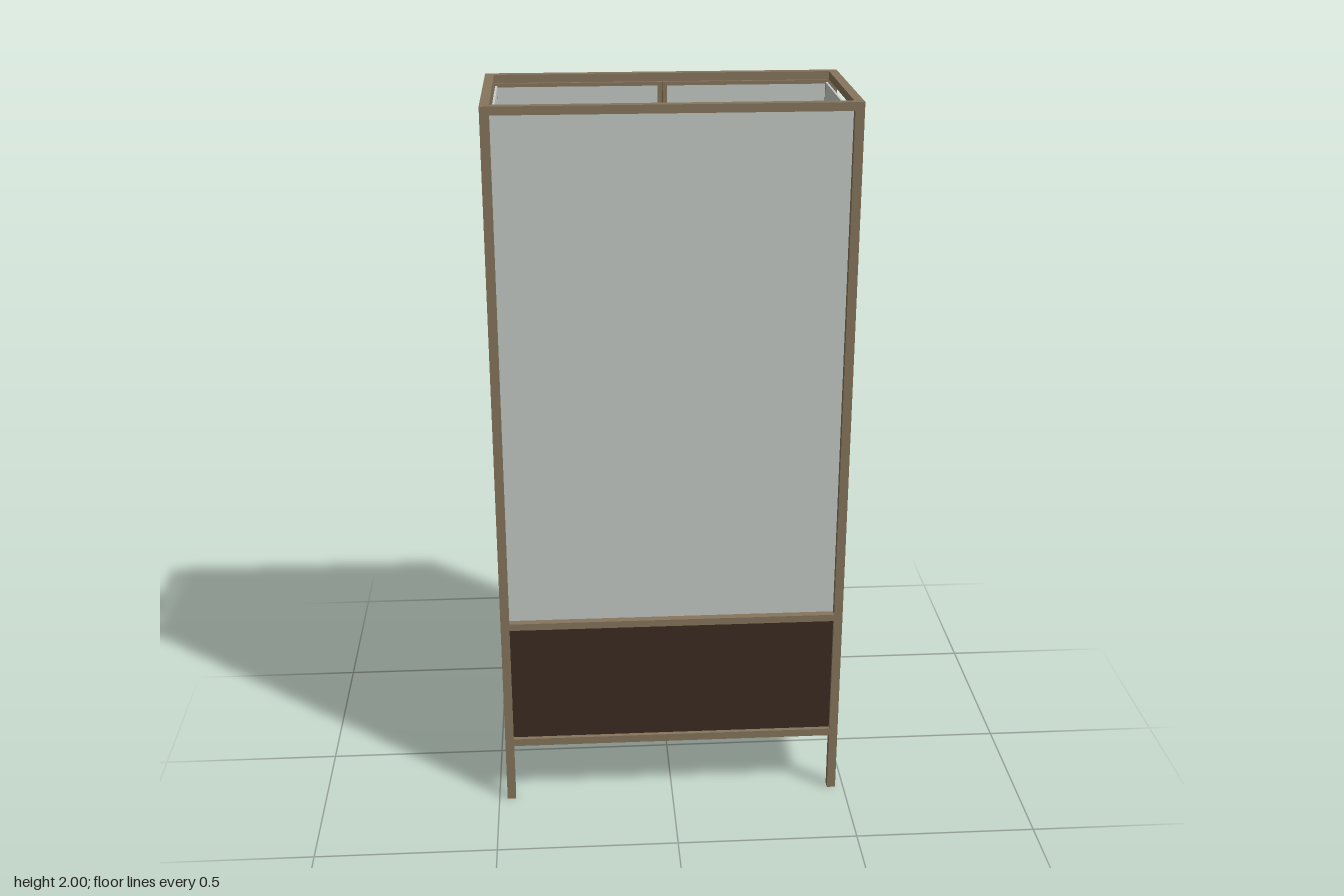
import * as THREE from 'three';

export function createModel() {
  const model = new THREE.Group();
  model.name = 'displayCabinet';
  const mat = (name, color) => {
    const m = new THREE.MeshStandardMaterial({ color });
    m.name = name;
    return m;
  };
  const brass = mat('agedBrass', 0x86755c);
  const wood = mat('darkWood', 0x3b2b22);
  const glass = mat('paleGlass', 0xc5cbc6);

  // Box given by its minimum and maximum on each axis
  const box = (name, material, x0, x1, y0, y1, z0, z1, parent = model) => {
    const mesh = new THREE.Mesh(new THREE.BoxGeometry(x1 - x0, y1 - y0, z1 - z0), material);
    mesh.position.set((x0 + x1) / 2, (y0 + y1) / 2, (z0 + z1) / 2);
    mesh.name = name;
    parent.add(mesh);
    return mesh;
  };

  const T = 0.024, X = 0.477, F = 0.255, B = -0.205;   // bar width, half width, front, back
  const xi = X - T, fi = F - T, bi = B + T;

  // Corner posts
  for (const s of [-1, 1]) {
    const x = s * (X - T / 2);
    box('frontPost', brass, x - T / 2, x + T / 2, 0, 2, fi, F);
    box('backPost', brass, x - T / 2, x + T / 2, 0, 2, B, bi);
  }

  // Rail rings at the base, above the drawer and at the top
  for (const [name, y0, y1] of [['baseRail', 0.176, 0.198], ['middleRail', 0.548, 0.568], ['topRail', 1.978, 2]]) {
    box(name + 'Front', brass, -xi, xi, y0, y1, fi, F);
    box(name + 'Back', brass, -xi, xi, y0, y1, B, bi);
    for (const s of [-1, 1]) {
      const x = s * (X - T / 2);
      box(name + 'Side', brass, x - T / 2, x + T / 2, y0, y1, bi, fi);
    }
  }

  // Lower wooden compartment
  box('frontWoodPanel', wood, -xi, xi, 0.198, 0.549, 0.229, 0.243);
  box('drawerFront', wood, -xi + 0.003, xi - 0.003, 0.201, 0.545, -0.2, -0.184);
  box('bottomBoard', wood, -0.45, 0.45, 0.19, 0.202, bi, fi);
  for (const s of [-1, 1]) {
    box('sideWoodPanel', wood, s * 0.453 - 0.006, s * 0.453 + 0.006, 0.198, 0.532, bi, fi);
  }
  box('cabinetFloor', wood, -0.446, 0.446, 0.552, 0.564, bi, fi);

  // Fixed glass
  box('frontGlass', glass, -xi, xi, 0.568, 1.974, 0.227, 0.234);
  for (const s of [-1, 1]) {
    box('sideGlass', glass, s * 0.448 - 0.003, s * 0.448 + 0.003, 0.568, 1.97, bi, 0.227);
  }

  // Upper glass shelf on small pegs
  box('glassShelf', glass, -0.443, 0.443, 1.91, 1.918, -0.176, 0.225);
  for (const s of [-1, 1]) for (const z of [-0.14, 0.18]) {
    box('shelfPeg', brass, s * 0.442 - 0.004, s * 0.442 + 0.004, 1.9, 1.922, z - 0.005, z + 0.005);
  }

  // Pair of doors with frames, handles and hinges
  for (const s of [-1, 1]) {
    const door = new THREE.Group();
    door.name = s > 0 ? 'leftDoor' : 'rightDoor';
    model.add(door);
    const span = (name, material, a, b, y0, y1, z0, z1) =>
      box(name, material, Math.min(s * a, s * b), Math.max(s * a, s * b), y0, y1, z0, z1, door);
    span('doorGlass', glass, 0.012, 0.45, 0.575, 1.972, -0.195, -0.188);
    span('meetingStile', brass, 0.001, 0.013, 0.57, 1.976, -0.209, -0.183);
    span('hingeStile', brass, 0.445, 0.457, 0.57, 1.976, -0.209, -0.183);
    span('doorRail', brass, 0.013, 0.445, 0.57, 0.58, -0.209, -0.183);
    span('doorRail', brass, 0.013, 0.445, 1.966, 1.976, -0.209, -0.183);

    // Flat upright handle standing off the door
    span('doorHandle', brass, 0.031, 0.038, 1.175, 1.33, -0.232, -0.208);
    span('handlePlate', brass, 0.012, 0.038, 1.175, 1.33, -0.21, -0.206);

    for (const y of [0.713, 1.813]) {
      const hinge = new THREE.Mesh(new THREE.CylinderGeometry(0.008, 0.008, 0.055, 12), brass);
      hinge.name = 'hinge';
      hinge.position.set(s * 0.454, y, -0.208);
      door.add(hinge);
    }
  }

  // Bowed drawer pull
  const points = [[-0.087, -0.198], [-0.09, -0.228], [-0.078, -0.244], [-0.04, -0.252], [0, -0.254],
    [0.04, -0.252], [0.078, -0.244], [0.09, -0.228], [0.087, -0.198]];
  const path = new THREE.CatmullRomCurve3(points.map(([x, z]) => new THREE.Vector3(x, 0.375, z)));
  const pull = new THREE.Mesh(new THREE.TubeGeometry(path, 48, 0.004, 8), brass);
  pull.name = 'drawerPull';
  model.add(pull);

  return model;
}
